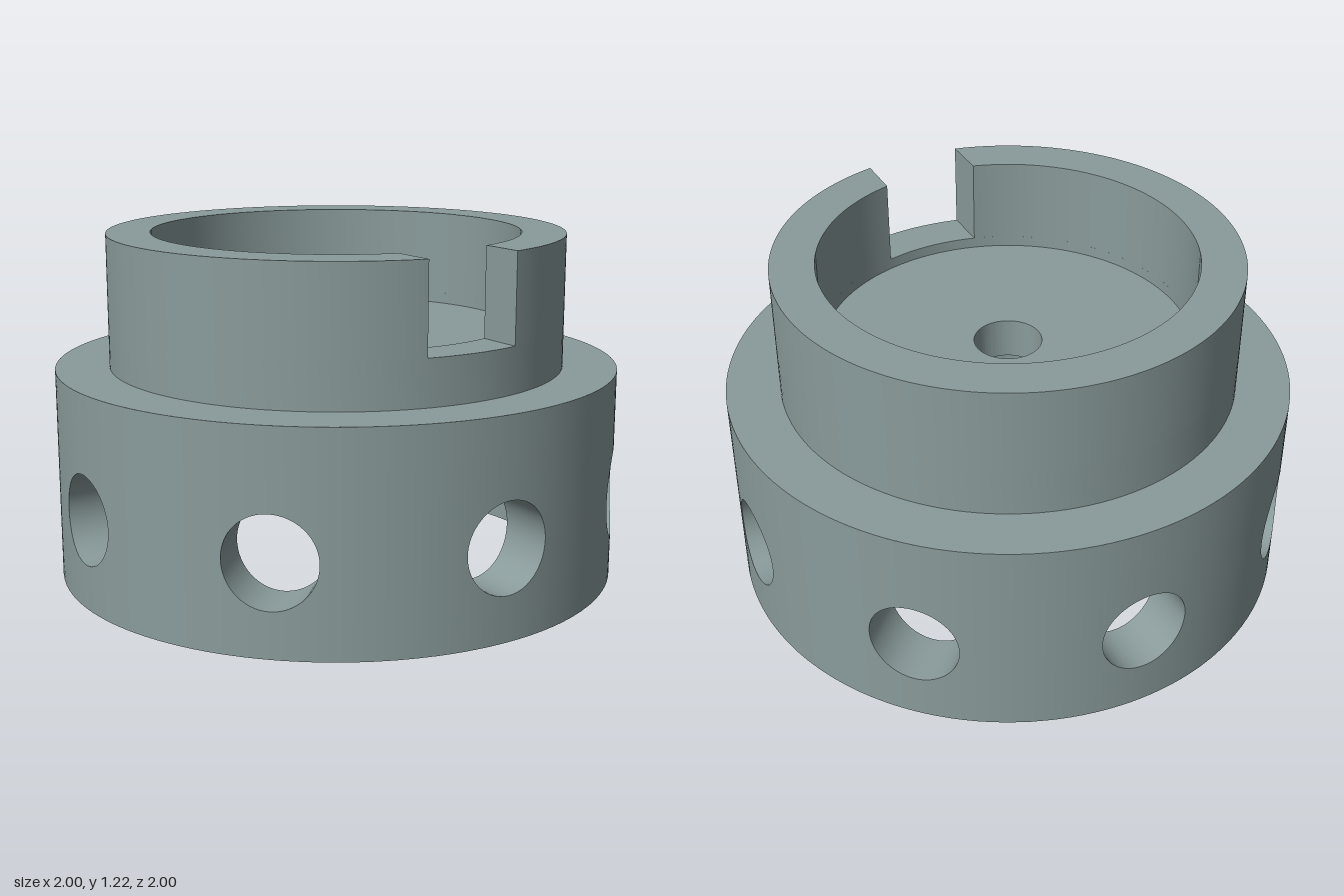
import * as THREE from 'three';
import { toCreasedNormals } from 'three/addons/utils/BufferGeometryUtils.js';
import { ParametricGeometry } from 'three/addons/geometries/ParametricGeometry.js';

const BASE_R = 1, BORE_R = 0.81, CUP_R = 0.81, CUP_IN = 0.655;
const BASE_TOP = 0.75, CEILING = 0.56, CUP_FLOOR = 0.87, SLOT_Y = 0.91, CUP_TOP = 1.22;
const SLOT_HALF = 0.175, PIN_R = 0.066, PIN_Z = 0.57, PIN_TOP = 0.72;
const HOLES = 8, HOLE_R = 0.157, HOLE_Y = 0.315;

export function createModel() {
  const group = new THREE.Group();
  const metal = new THREE.MeshStandardMaterial({ color: 0x8a9b9b });
  metal.name = 'grey metal';

  const add = (name, geometry, parent = group) => {
    const mesh = new THREE.Mesh(geometry, metal);
    mesh.name = name;
    parent.add(mesh);
    return mesh;
  };
  const lathe = (points) => toCreasedNormals(
    new THREE.LatheGeometry(points.map(([r, y]) => new THREE.Vector2(r, y)), 128), 0.5);
  const circle = (r, y = 0) => new THREE.Path().absarc(0, y, r, 0, Math.PI * 2, true);

  // One sector of cylindrical wall, spread from a round hole to the sector's edges
  const wallPatch = (radius, top, inward) => new ParametricGeometry((u, v, target) => {
    const s = inward ? v : u, t = (inward ? u : v) * Math.PI * 2;
    const c = Math.cos(t), n = Math.sin(t), m = Math.max(Math.abs(c), Math.abs(n));
    const a0 = Math.asin(HOLE_R * c / radius), y0 = HOLE_Y + HOLE_R * n;
    const a1 = c / m * Math.PI / HOLES;
    const y1 = HOLE_Y + n / m * (n > 0 ? top - HOLE_Y : HOLE_Y);
    const a = a0 + (a1 - a0) * s;
    target.set(radius * Math.sin(a), y0 + (y1 - y0) * s, radius * Math.cos(a));
  }, inward ? 64 : 10, inward ? 10 : 64);

  // Bore of a radial hole, from the inner wall to the outer wall
  const holeBore = new ParametricGeometry((u, v, target) => {
    const x = HOLE_R * Math.cos(v * Math.PI * 2), y = HOLE_R * Math.sin(v * Math.PI * 2);
    const zIn = Math.sqrt(BORE_R ** 2 - x * x), zOut = Math.sqrt(BASE_R ** 2 - x * x);
    target.set(x, HOLE_Y + y, zIn + (zOut - zIn) * u);
  }, 2, 64);

  // Base wall, repeated around the axis
  const outer = wallPatch(BASE_R, BASE_TOP, false);
  const inner = wallPatch(BORE_R, CEILING, true);
  for (let i = 0; i < HOLES; i++) {
    const sector = new THREE.Group();
    sector.name = 'baseSector' + (i + 1);
    sector.rotation.y = i * Math.PI * 2 / HOLES;
    add('outerWall', outer, sector);
    add('innerWall', inner, sector);
    add('radialHole', holeBore, sector);
    group.add(sector);
  }
  add('bottomRim', lathe([[BORE_R, 0], [BASE_R, 0]]));

  // Shoulder, lower cup ring, cup floor and stepped centre hole
  add('shoulderAndCupFloor', lathe([
    [BASE_R, BASE_TOP], [CUP_R, BASE_TOP], [CUP_R, SLOT_Y], [CUP_IN, SLOT_Y],
    [CUP_IN, CUP_FLOOR], [0.12, CUP_FLOOR], [0.12, 0.72], [0.21, 0.72], [0.21, CEILING],
  ]));

  // Ceiling of the base bore, with centre and pin holes
  const ceiling = new THREE.Shape().absarc(0, 0, BORE_R, 0, Math.PI * 2, false);
  ceiling.holes.push(circle(0.21), circle(PIN_R, PIN_Z));
  add('boreCeiling', new THREE.ShapeGeometry(ceiling, 64).rotateX(Math.PI / 2).translate(0, CEILING, 0));
  add('pinHole', lathe([[0, PIN_TOP], [PIN_R, PIN_TOP], [PIN_R, CEILING]]).translate(0, 0, PIN_Z));

  // Upper cup wall with a straight-sided slot at the front
  const aOut = Math.asin(SLOT_HALF / CUP_R), aIn = Math.asin(SLOT_HALF / CUP_IN);
  const cup = new THREE.Shape();
  cup.absarc(0, 0, CUP_R, -Math.PI / 2 + aOut, Math.PI * 1.5 - aOut, false);
  cup.absarc(0, 0, CUP_IN, Math.PI * 1.5 - aIn, -Math.PI / 2 + aIn, true);
  const cupWall = new THREE.ExtrudeGeometry(cup,
    { depth: CUP_TOP - SLOT_Y, bevelEnabled: false, curveSegments: 128 });
  cupWall.rotateX(-Math.PI / 2).translate(0, SLOT_Y, 0);
  add('slottedCupWall', toCreasedNormals(cupWall, 0.5));

  return group;
}
